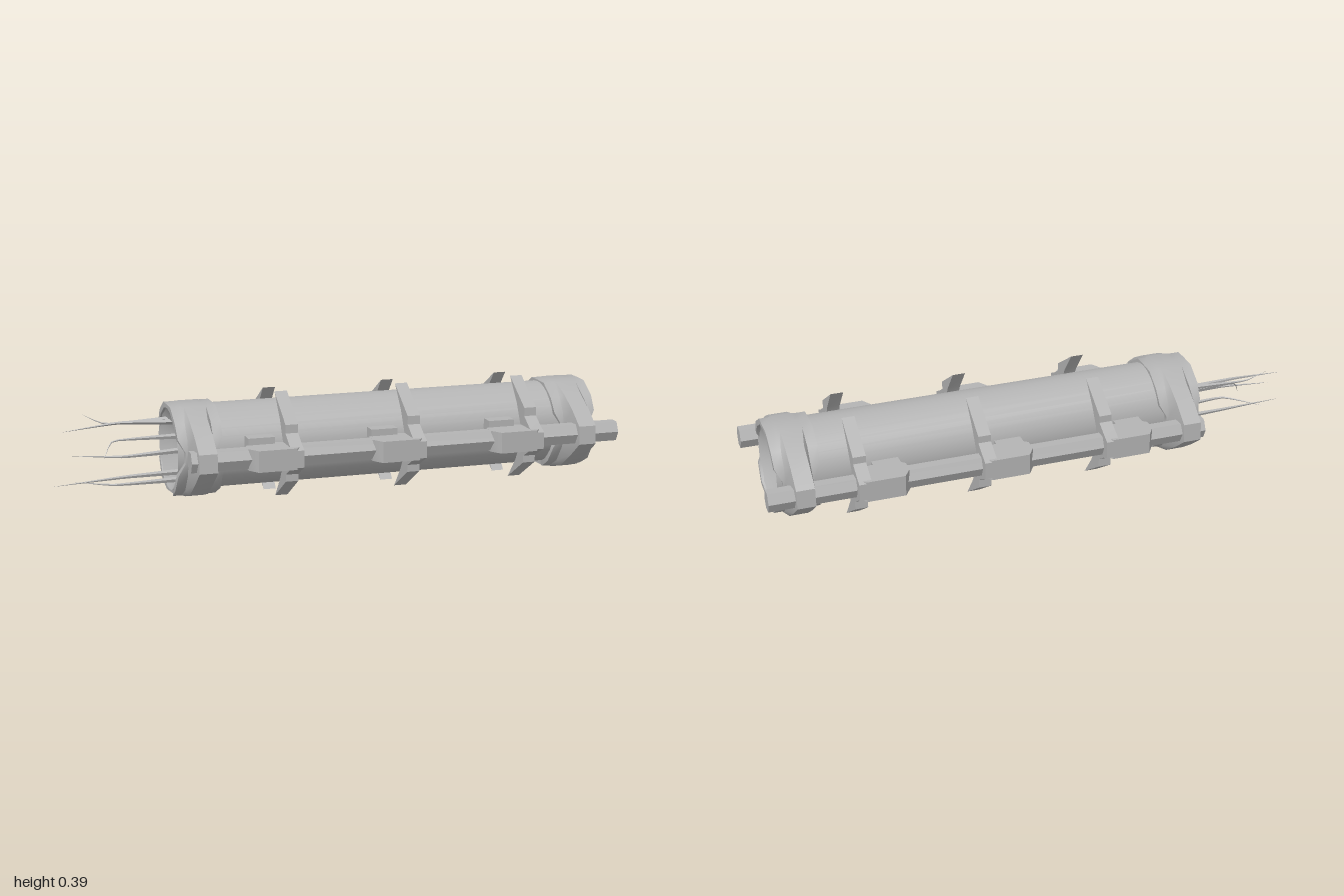
import * as THREE from 'three';
import { toCreasedNormals } from 'three/addons/utils/BufferGeometryUtils.js';

const CY = 0.2; // height of the long axis
const steel = new THREE.MeshStandardMaterial({ color: 0xb4b4b4 });
steel.name = 'steel grey';

function part(name, geometry, parent, crease = 0.6) {
  const mesh = new THREE.Mesh(toCreasedNormals(geometry, crease), steel);
  mesh.name = name;
  parent.add(mesh);
  return mesh;
}

// Extruded outline: points are [x, y], depth along z
function extrude(points, depth) {
  const shape = new THREE.Shape(points.map(([x, y]) => new THREE.Vector2(x, y)));
  return new THREE.ExtrudeGeometry(shape, { depth, bevelEnabled: false });
}

// Irregular clamp ring: round base band with a ridge that reaches out to both side rods
function collarGeometry() {
  const half = [[0, 0.357, 0.08], [0.055, 0.357, 0.08], [0.13, 0.325, 0.08], [0.2, 0.285, 0.078],
    [0.265, 0.235, 0.055], [0.27, 0.17, 0.055], [0.2, 0.115, 0.078], [0.12, 0.06, 0.08],
    [0.05, 0.038, 0.075], [0, 0.028, 0.06]];
  const outline = [...half, ...half.slice(1, -1).reverse().map(([z, y, w]) => [-z, y, w])];
  const positions = [];
  const index = [];
  for (const [z, y, w] of outline) {
    const ridge = Math.hypot(z, y - CY);
    const base = Math.min(0.165, ridge);
    const section = [[-w, 0.145], [-w, base], [-0.045, base], [-0.032, ridge],
      [0.032, ridge], [0.045, base], [w, base], [w, 0.145]];
    for (const [x, r] of section) positions.push(x, CY + (y - CY) / ridge * r, z / ridge * r);
  }
  const n = outline.length;
  for (let i = 0; i < n; i++) {
    for (let j = 0; j < 8; j++) {
      const a = i * 8 + j, b = i * 8 + (j + 1) % 8;
      const c = ((i + 1) % n) * 8 + j, d = ((i + 1) % n) * 8 + (j + 1) % 8;
      index.push(a, c, b, b, c, d);
    }
  }
  const geometry = new THREE.BufferGeometry();
  geometry.setAttribute('position', new THREE.Float32BufferAttribute(positions, 3));
  geometry.setIndex(index);
  return geometry;
}

// Thin wire narrowing to a point
function wireGeometry(points, radius) {
  const curve = new THREE.CatmullRomCurve3(points.map(p => new THREE.Vector3(...p)), false, 'catmullrom', 0.2);
  const rings = 14, sides = 5;
  const geometry = new THREE.TubeGeometry(curve, rings, radius, sides);
  const pos = geometry.attributes.position;
  const v = new THREE.Vector3();
  for (let i = 0; i < pos.count; i++) {
    const t = Math.floor(i / (sides + 1)) / rings;
    const centre = curve.getPointAt(t);
    v.fromBufferAttribute(pos, i).sub(centre).multiplyScalar(1.02 - t).add(centre);
    pos.setXYZ(i, v.x, v.y, v.z);
  }
  return geometry;
}

// Rod with three clamps, heights measured from the long axis
function sideRail() {
  const rail = new THREE.Group();
  const rod = new THREE.CylinderGeometry(0.04, 0.04, 1.57, 6);
  rod.rotateZ(-Math.PI / 2);
  rod.scale(1, 1, 0.85);
  rod.translate(0.215, 0.004, 0.225);
  part('rod', rod, rail, 0.4);

  const sleeveOutline = [[-0.09, -0.245], [-0.065, -0.285], [0.07, -0.285], [0.095, -0.25],
    [0.095, -0.195], [0.03, -0.175], [-0.06, -0.175], [-0.09, -0.2]];
  const clawOutline = [[0.285, -0.03], [0.285, 0.03], [0.255, 0.045], [0.21, 0.075], [0.21, 0.105],
    [0.075, 0.195], [0.14, 0.112], [0.18, 0.035], [0.18, -0.035], [0.14, -0.1], [0.075, -0.178],
    [0.21, -0.095], [0.21, -0.07], [0.255, -0.045]];
  for (const x of [-0.28, 0.163, 0.603]) {
    const clamp = new THREE.Group();
    clamp.name = 'clamp';
    clamp.position.x = x;
    rail.add(clamp);

    const sleeve = extrude(sleeveOutline, 0.075);
    sleeve.rotateX(-Math.PI / 2);
    sleeve.translate(0, -0.036, 0);
    part('clampSleeve', sleeve, clamp);

    const pad = new THREE.BoxGeometry(0.095, 0.095, 0.05);
    pad.translate(-0.03, 0.015, 0.17);
    part('clampPad', pad, clamp);

    const claw = extrude(clawOutline.map(([z, y]) => [-z, y]), 0.045);
    claw.rotateY(Math.PI / 2);
    claw.translate(0.05, 0, 0);
    part('claw', claw, clamp);
  }
  rail.position.y = CY;
  return rail;
}

export function createModel() {
  const model = new THREE.Group();
  model.name = 'bracedCylinder';

  // Main barrel with a dished hollow and a small socket at each end
  const profile = [[0, -0.51], [0.035, -0.51], [0.035, -0.53], [0.1, -0.56], [0.148, -0.592],
    [0.148, 0.947], [0.1, 0.905], [0.035, 0.875], [0.035, 0.855], [0, 0.855]];
  const barrel = new THREE.LatheGeometry(profile.map(([r, h]) => new THREE.Vector2(r, h)), 32);
  barrel.rotateZ(-Math.PI / 2);
  part('barrel', barrel, model).position.y = CY + 0.004;

  // End collars
  for (const x of [-0.515, 0.875]) {
    part('endCollar', collarGeometry(), model, 0.7).position.x = x;
  }

  // Front rail, and the same rail turned half round the long axis for the back
  const front = sideRail();
  front.name = 'frontRail';
  const back = sideRail();
  back.name = 'backRail';
  back.rotation.x = Math.PI;
  model.add(front, back);

  // Loose wires at the open end
  const wires = [
    [[-0.53, 0.285, -0.09], [-0.79, 0.28, -0.1], [-0.87, 0.315, -0.115]],
    [[-0.53, 0.275, -0.08], [-0.75, 0.285, -0.08], [-0.95, 0.27, -0.06]],
    [[-0.53, 0.235, -0.03], [-0.78, 0.235, -0.025], [-0.82, 0.18, 0.01]],
    [[-0.53, 0.2, 0.03], [-0.76, 0.193, 0.04], [-0.94, 0.2, 0.0]],
    [[-0.53, 0.11, 0.08], [-0.8, 0.112, 0.1], [-0.92, 0.106, 0.0]],
    [[-0.53, 0.115, 0.0], [-0.75, 0.113, 0.01], [-1.0, 0.105, 0.035]],
  ];
  for (const points of wires) part('wire', wireGeometry(points, 0.011), model, 1);

  return model;
}
